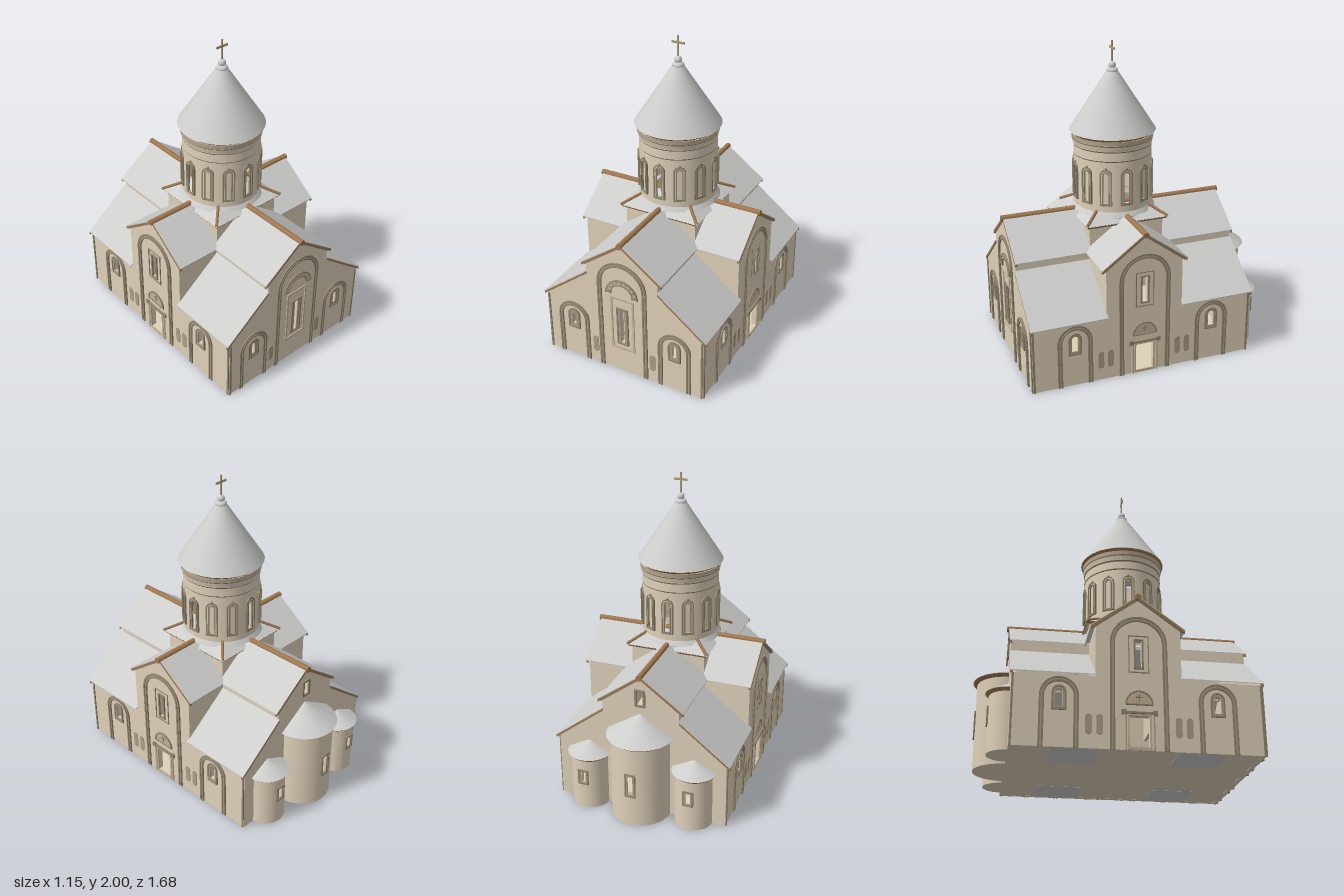
import * as THREE from 'three';

const mat = (name, color, side = THREE.FrontSide) => {
  const m = new THREE.MeshStandardMaterial({ color, side });
  m.name = name;
  return m;
};
const CZ = 0.095; // z of the crossing under the drum

export function createModel() {
  const stone = mat('stone', 0xdfd1b9, THREE.DoubleSide);
  const trim = mat('carved trim', 0x92866f);
  const niche = mat('niche stone', 0xac9d85);
  const frameStone = mat('pale frame stone', 0xc6b296);
  const roof = mat('roof sheet', 0xcdcdcc, THREE.DoubleSide);
  const wood = mat('brown edging', 0xa0784f);
  const gilt = mat('cross metal', 0xb09c76);

  const model = new THREE.Group();
  model.name = 'church';
  const add = (parent, name, geo, material, x = 0, y = 0, z = 0) => {
    const m = new THREE.Mesh(geo, material);
    m.name = name;
    m.position.set(x, y, z);
    parent.add(m);
    return m;
  };
  const group = (name, x = 0, y = 0, z = 0, ry = 0, parent = model) => {
    const g = new THREE.Group();
    g.name = name;
    g.position.set(x, y, z);
    g.rotation.y = ry;
    parent.add(g);
    return g;
  };
  const box = (parent, name, m, w, h, d, x, y, z) => add(parent, name, new THREE.BoxGeometry(w, h, d), m, x, y, z);
  const pts = a => a.map(([x, y]) => new THREE.Vector2(x, y));
  const rect = (x, hw, y0, y1) => pts([[x - hw, y0], [x + hw, y0], [x + hw, y1], [x - hw, y1]]);
  // Round-headed outline, open at the foot, from right to left
  const arch = (x, hw, y0, top) => {
    const p = [[x + hw, y0]];
    for (let i = 0; i <= 20; i++) {
      const a = Math.PI * i / 20;
      p.push([x + hw * Math.cos(a), top - hw + hw * Math.sin(a)]);
    }
    p.push([x - hw, y0]);
    return pts(p);
  };
  // Outline round at both ends
  const pill = (x, hw, y0, y1) => {
    const p = [];
    for (let i = 0; i < 24; i++) {
      const a = Math.PI * (i + 0.5) / 12;
      p.push([x + hw * Math.cos(a), (i < 12 ? y1 - hw : y0 + hw) + hw * Math.sin(a)]);
    }
    return pts(p);
  };
  const slab = (parent, name, m, outline, depth, z = 0, holes = []) => {
    const s = new THREE.Shape(outline);
    s.holes = holes.map(h => new THREE.Path(h));
    return add(parent, name, new THREE.ExtrudeGeometry(s, { depth, bevelEnabled: false }), m, 0, 0, z);
  };
  // Arched moulding open at the foot
  const archBand = (g, name, m, x, hw, y0, top, t, depth) =>
    slab(g, name, m, [...arch(x, hw, y0, top), ...arch(x, hw - t, y0, top - t).reverse()], depth);
  const archFrame = (g, name, m, x, hw, y0, top, t, depth) =>
    slab(g, name, m, arch(x, hw, y0, top), depth, 0, [arch(x, hw - t, y0 + t, top - t)]);
  const blindArch = (g, x, hw, top) => {
    archBand(g, 'outerArchMoulding', trim, x, hw, 0, top, 0.01, 0.01);
    archBand(g, 'middleArchMoulding', niche, x, hw - 0.01, 0, top - 0.01, 0.009, 0.005);
    archBand(g, 'innerArchMoulding', trim, x, hw - 0.019, 0, top - 0.019, 0.01, 0.01);
  };
  const smallWindow = (g, x, half) => {
    archFrame(g, 'windowFrame', trim, x, 0.042, 0.214, 0.36, 0.009, 0.01);
    archFrame(g, 'windowReveal', niche, x, 0.033, 0.223, 0.351, 0.033 - half, 0.006);
  };
  const smallHole = x => arch(x, 0.021, 0.234, 0.34);
  const blindNiche = (g, x) => slab(g, 'blindNiche', niche, pill(x, 0.019, 0.08, 0.2), 0.004);

  // Floor with grey bays
  box(model, 'floor', stone, 1.1, 0.01, 1.45, 0, 0.006, CZ);
  for (const x of [-0.4, 0.4]) for (const z of [-0.36, 0.36])
    box(model, 'floorBay', roof, 0.27, 0.004, 0.27, x, 0.002, CZ + z);

  // Front and back walls share one outline
  const endOutline = pts([[-0.553, 0], [0.553, 0], [0.553, 0.428], [0.25, 0.665], [0.25, 0.75], [0, 0.933],
    [-0.25, 0.75], [-0.25, 0.665], [-0.553, 0.428]]);
  const front = group('frontFace', 0, 0, 0.82);
  slab(front, 'frontWall', stone, endOutline, 0.03, -0.03, [rect(0, 0.013, 0.222, 0.468), smallHole(-0.36), smallHole(0.36)]);
  blindArch(front, 0, 0.172, 0.812);
  slab(front, 'windowPanelEdge', frameStone, rect(0, 0.082, 0.17, 0.555), 0.006, 0, [rect(0, 0.07, 0.182, 0.543)]);
  slab(front, 'windowFrame', trim, rect(0, 0.04, 0.21, 0.482), 0.01, 0, [rect(0, 0.03, 0.217, 0.474)]);
  slab(front, 'windowReveal', niche, rect(0, 0.03, 0.217, 0.474), 0.006, 0, [rect(0, 0.013, 0.222, 0.468)]);
  archBand(front, 'hoodArch', trim, 0, 0.112, 0.59, 0.69, 0.007, 0.01);
  archBand(front, 'hoodArch', frameStone, 0, 0.105, 0.59, 0.683, 0.023, 0.006);
  archBand(front, 'hoodArch', trim, 0, 0.082, 0.59, 0.66, 0.007, 0.01);
  for (let i = 0; i < 9; i++) {
    const a = Math.PI * (i + 0.5) / 9;
    add(front, 'hoodBead', new THREE.SphereGeometry(0.006, 8, 6), trim, 0.093 * Math.cos(a), 0.58 + 0.093 * Math.sin(a), 0.006);
  }
  for (const s of [-1, 1]) {
    box(front, 'hoodFoot', trim, 0.04, 0.008, 0.012, s * 0.093, 0.59, 0.006);
    blindArch(front, s * 0.36, 0.112, 0.412);
    smallWindow(front, s * 0.36, 0.012);
    blindNiche(front, s * 0.205);
  }
  const back = group('backFace', 0, 0, -0.63, Math.PI);
  slab(back, 'backWall', stone, endOutline, 0.03, -0.03,
    [rect(0, 0.12, 0.1, 0.5), rect(0, 0.02, 0.75, 0.84), rect(-0.345, 0.07, 0.1, 0.33), rect(0.345, 0.07, 0.1, 0.33)]);
  slab(back, 'gableWindowFrame', trim, rect(0, 0.034, 0.737, 0.853), 0.01, 0, [rect(0, 0.02, 0.75, 0.84)]);

  // Matching side faces with transept gable, portal and arches
  const sideOutline = pts([[-0.725, 0], [0.725, 0], [0.725, 0.425], [0.25, 0.425], [0.25, 0.75], [0, 0.933],
    [-0.25, 0.75], [-0.25, 0.425], [-0.725, 0.425]]);
  for (const s of [-1, 1]) {
    const g = group(s > 0 ? 'leftFace' : 'rightFace', s * 0.553, 0, CZ, s * Math.PI / 2);
    slab(g, 'sideWall', stone, sideOutline, 0.03, -0.03,
      [rect(0, 0.058, 0.018, 0.2), rect(0, 0.018, 0.49, 0.66), smallHole(-0.455), smallHole(0.455)]);
    blindArch(g, 0, 0.168, 0.812);
    slab(g, 'windowPanelEdge', trim, rect(0, 0.06, 0.46, 0.692), 0.006, 0, [rect(0, 0.055, 0.465, 0.687)]);
    slab(g, 'windowFrame', trim, rect(0, 0.028, 0.482, 0.668), 0.01, 0, [rect(0, 0.018, 0.49, 0.66)]);
    // Portal
    slab(g, 'doorFrame', frameStone, rect(0, 0.068, 0.002, 0.208), 0.008, 0, [rect(0, 0.058, 0.018, 0.2)]);
    box(g, 'doorLintel', trim, 0.17, 0.012, 0.012, 0, 0.218, 0.006);
    archBand(g, 'portalArch', trim, 0, 0.08, 0.265, 0.35, 0.008, 0.01);
    slab(g, 'portalTympanum', frameStone, arch(0, 0.072, 0.265, 0.342), 0.004);
    box(g, 'portalArchFoot', trim, 0.16, 0.006, 0.01, 0, 0.267, 0.005);
    box(g, 'reliefCross', trim, 0.006, 0.045, 0.006, 0, 0.306, 0.005);
    box(g, 'reliefCross', trim, 0.04, 0.006, 0.006, 0, 0.31, 0.005);
    for (const t of [-1, 1]) {
      add(g, 'portalColumn', new THREE.CylinderGeometry(0.008, 0.008, 0.21, 8), frameStone, t * 0.08, 0.105, 0.004);
      box(g, 'portalCapital', trim, 0.026, 0.028, 0.014, t * 0.09, 0.218, 0.007);
      blindArch(g, t * 0.455, 0.112, 0.412);
      smallWindow(g, t * 0.455, 0.02);
      blindNiche(g, t * 0.225);
      blindNiche(g, t * 0.288);
      box(g, 'cornerStrip', trim, 0.012, 0.42, 0.008, t * 0.717, 0.21, 0.003);
      box(front, 'cornerStrip', trim, 0.012, 0.42, 0.008, t * 0.546, 0.21, 0.003);
      // Upper walls of nave and transept
      box(model, 'naveUpperWall', stone, 0.02, 0.14, 0.48, s * 0.24, 0.685, CZ + t * 0.485);
      box(model, 'transeptUpperWall', stone, 0.31, 0.345, 0.02, s * 0.39, 0.58, CZ + t * 0.24);
    }
  }

  // Gabled roofs over nave and transept with brown edging below
  const chevron = (hw, eave, ridge, t) => pts([[hw, eave], [0, ridge], [-hw, eave], [-hw, eave - t], [0, ridge - t], [hw, eave - t]]);
  const gable = (name, half, ry) => {
    const g = group(name, 0, 0, CZ, ry);
    slab(g, 'roofSlopes', roof, chevron(0.28, 0.745, 0.95, 0.006), half * 2, -half);
    const ridge = new THREE.CylinderGeometry(0.019, 0.019, half * 2 + 0.024, 12).rotateX(Math.PI / 2);
    add(g, 'ridge', ridge, wood, 0, 0.938, 0);
    for (const s of [-1, 1]) {
      slab(g, 'gableEdge', wood, chevron(0.278, 0.74, 0.944, 0.016), 0.014, s * (half - 0.006) - 0.007);
      slab(g, 'gableMoulding', trim, chevron(0.262, 0.736, 0.93, 0.008), 0.012, s * (half - 0.01) - 0.006);
    }
  };
  gable('naveRoof', 0.733, 0);
  gable('transeptRoof', 0.565, Math.PI / 2);
  // Lean-to roofs over the aisles
  const lean = (s, y, t) => pts([[s * 0.25, 0.686 - y], [s * 0.576, 0.432 - y], [s * 0.576, 0.432 - y - t], [s * 0.25, 0.686 - y - t]]);
  for (const s of [-1, 1]) for (const e of [-1, 1]) {
    const near = CZ + e * 0.245, far = CZ + e * 0.733;
    slab(model, 'aisleRoof', roof, lean(s, 0, 0.007), Math.abs(far - near), Math.min(near, far));
    slab(model, 'aisleRoofEdge', wood, lean(s, 0.007, 0.016), 0.014, far - e * 0.008 - 0.007);
  }

  // Curved wall pierced by evenly placed windows
  const ring = (g, name, r, y0, y1, start, sweep, n, half, w0, w1) => {
    const step = sweep / n;
    const arc = (a, len, b, t, seg) =>
      add(g, name, new THREE.CylinderGeometry(r, r, t - b, seg, 1, true, a, len), stone, 0, (b + t) / 2, 0);
    for (let i = 0; i < n; i++) {
      const mid = start + (i + 0.5) * step, solid = step / 2 - half, seg = Math.ceil(solid / 0.12);
      arc(mid - step / 2, solid, y0, y1, seg);
      arc(mid + half, solid, y0, y1, seg);
      arc(mid - half, half * 2, y0, w0, 2);
      arc(mid - half, half * 2, w1, y1, 2);
    }
  };

  // Three rounded apses at the back
  const apse = (x, r, h, top, over, w0, w1) => {
    const g = group('apse', x, 0, -0.625);
    ring(g, 'apseWall', r, 0, h, Math.PI / 2, Math.PI, 1, 0.016 / r, w0, w1);
    add(g, 'apseFloor', new THREE.CylinderGeometry(r, r, 0.01, 32, 1, false, Math.PI / 2, Math.PI), stone, 0, 0.006, 0);
    add(g, 'apseCornice', new THREE.CylinderGeometry(r + over * 0.8, r + 0.004, 0.016, 32, 1, false, Math.PI / 2, Math.PI), wood, 0, h - 0.009, 0);
    add(g, 'apseRoof', new THREE.CylinderGeometry(0.002, r + over, top - h, 32, 1, false, Math.PI / 2, Math.PI), roof, 0, (top + h) / 2, 0);
    const f = group('apseWindow', 0, 0, -r + 0.003, Math.PI, g);
    slab(f, 'windowFrame', trim, rect(0, 0.034, w0 - 0.016, w1 + 0.016), 0.01, 0, [rect(0, 0.026, w0 - 0.008, w1 + 0.008)]);
    slab(f, 'windowReveal', niche, rect(0, 0.026, w0 - 0.008, w1 + 0.008), 0.006, 0, [rect(0, 0.016, w0, w1)]);
  };
  apse(0, 0.19, 0.555, 0.69, 0.025, 0.22, 0.35);
  for (const s of [-1, 1]) apse(s * 0.347, 0.12, 0.362, 0.435, 0.021, 0.19, 0.262);

  // Square crossing and its low hipped skirt
  const crossing = group('crossing', 0, 0, CZ);
  const squareRing = (name, m, top, bottom, y0, y1) => {
    const k = Math.SQRT2;
    const geo = new THREE.CylinderGeometry(top * k, bottom * k, y1 - y0, 4, 1, true, Math.PI / 4).toNonIndexed();
    geo.computeVertexNormals();
    add(crossing, name, geo, m, 0, (y0 + y1) / 2, 0);
  };
  squareRing('crossingWall', stone, 0.245, 0.245, 0.74, 0.9);
  squareRing('skirtEdge', wood, 0.27, 0.262, 0.892, 0.908);
  squareRing('skirtRoof', roof, 0.17, 0.272, 0.906, 0.97);
  for (let i = 0; i < 4; i++) {
    const a = Math.PI / 4 + i * Math.PI / 2, v = r => [Math.sin(a) * r, Math.cos(a) * r];
    const [x0, z0] = v(0.385), [x1, z1] = v(0.24);
    const path = new THREE.LineCurve3(new THREE.Vector3(x0, 0.91, z0), new THREE.Vector3(x1, 0.972, z1));
    add(crossing, 'skirtHip', new THREE.TubeGeometry(path, 1, 0.01, 6), wood);
  }

  // Round drum: four open windows on the axes, blind ones between
  const drum = group('drum', 0, 0, CZ);
  ring(drum, 'drumWall', 0.247, 0.92, 1.42, -Math.PI / 4, Math.PI * 2, 4, 0.062, 1.025, 1.22);
  for (let i = 0; i < 12; i++) {
    const a = i * Math.PI / 6;
    const f = group('drumWindow', Math.sin(a) * 0.243, 0, Math.cos(a) * 0.243, a, drum);
    archFrame(f, 'outerFrame', trim, 0, 0.038, 1.012, 1.25, 0.008, 0.014);
    archFrame(f, 'middleFrame', stone, 0, 0.03, 1.02, 1.242, 0.006, 0.009);
    archFrame(f, 'innerFrame', trim, 0, 0.024, 1.018, 1.235, 0.008, 0.012);
    add(f, 'keystone', new THREE.SphereGeometry(0.009, 8, 6), trim, 0, 1.252, 0.006);
  }
  const band = (name, m, top, bottom, y0, y1) =>
    add(drum, name, new THREE.CylinderGeometry(top, bottom, y1 - y0, 48, 1, true), m, 0, (y0 + y1) / 2, 0);
  band('drumFlashing', roof, 0.249, 0.268, 0.94, 0.968);
  band('drumBand', trim, 0.254, 0.25, 1.296, 1.303);
  band('drumBand', trim, 0.255, 0.25, 1.356, 1.364);
  band('drumCornice', stone, 0.258, 0.25, 1.364, 1.395);
  band('drumCornice', trim, 0.261, 0.258, 1.395, 1.402);
  band('drumCornice', frameStone, 0.263, 0.258, 1.402, 1.428);
  band('drumEave', wood, 0.273, 0.25, 1.426, 1.446);

  // Conical roof, finial and cross
  add(drum, 'coneRoof', new THREE.CylinderGeometry(0.034, 0.274, 0.37, 48), roof, 0, 1.629, 0);
  add(drum, 'finialBase', new THREE.SphereGeometry(0.038, 20, 10).scale(1, 0.6, 1), roof, 0, 1.815, 0);
  add(drum, 'finialBall', new THREE.SphereGeometry(0.024, 20, 12), roof, 0, 1.848, 0);
  box(drum, 'crossPost', gilt, 0.009, 0.136, 0.009, 0, 1.932, 0);
  box(drum, 'crossArm', gilt, 0.086, 0.013, 0.009, 0, 1.955, 0);
  return model;
}
